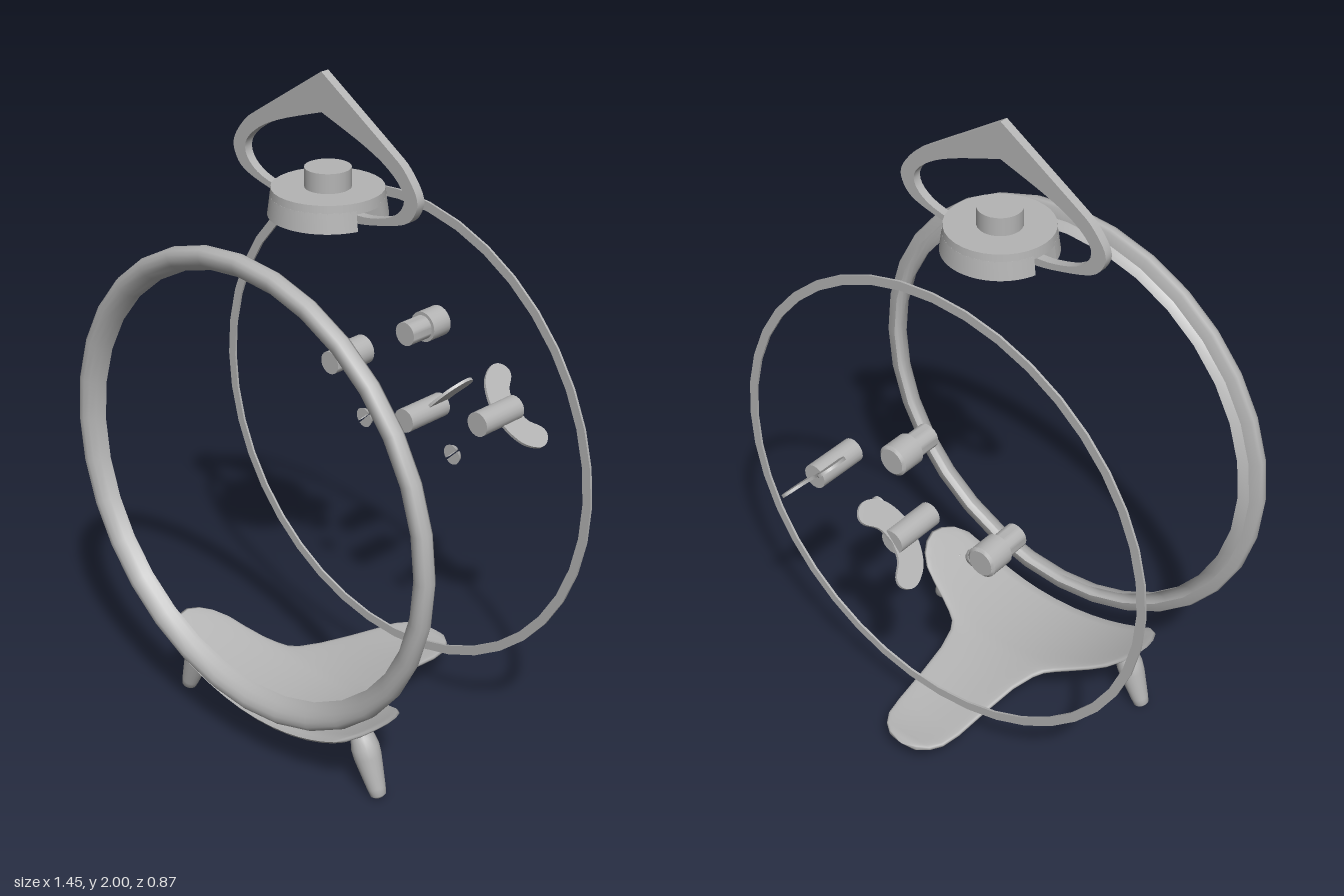
import * as THREE from 'three';
import { toCreasedNormals } from 'three/addons/utils/BufferGeometryUtils.js';

const metal = new THREE.MeshStandardMaterial({ color: 0xb4b4b4, side: THREE.DoubleSide });
metal.name = 'grey metal';

const V2 = (p) => new THREE.Vector2(p[0], p[1]);
const CENTRE_Y = 0.88;

function add(parent, name, geometry, x = 0, y = 0, z = 0) {
  const mesh = new THREE.Mesh(geometry, metal);
  mesh.name = name;
  mesh.position.set(x, y, z);
  parent.add(mesh);
  return mesh;
}

// Lathe whose axis is turned to lie along z
const latheZ = (pts, segs, start = 0, length = Math.PI * 2) =>
  new THREE.LatheGeometry(pts.map(V2), segs, start, length).rotateX(Math.PI / 2);

const smoothExtrude = (shape, depth, curveSegments = 16) =>
  toCreasedNormals(new THREE.ExtrudeGeometry(shape, { depth, bevelEnabled: false, curveSegments }), 0.6);

// Linear interpolation through [position, value] pairs in descending position
function lookup(table, z) {
  for (let i = 1; i < table.length; i++) {
    const [a, va] = table[i - 1], [b, vb] = table[i];
    if (z >= b) return va + (vb - va) * Math.min(1, Math.max(0, (a - z) / (a - b)));
  }
  return table[table.length - 1][1];
}

// Cradle plate: cross-sections curved to the case, narrowing into a tail
function cradleGeometry() {
  const widths = [[0.387, 0.33], [0.377, 0.37], [0.35, 0.403], [0.31, 0.422], [0.27, 0.428], [0.23, 0.417],
    [0.195, 0.395], [0.165, 0.36], [0.145, 0.315], [0.12, 0.255], [0.1, 0.215], [0.08, 0.185], [0.05, 0.166],
    [-0.02, 0.145], [-0.13, 0.131], [-0.25, 0.12], [-0.31, 0.108], [-0.345, 0.085], [-0.367, 0.055], [-0.378, 0.005]];
  const drops = [[0.39, 0], [0.1, 0], [0, 0.006], [-0.1, 0.02], [-0.25, 0.041], [-0.32, 0.044], [-0.38, 0.04]];
  const n = 32, pos = [], idx = [];
  widths.forEach(([z, w], row) => {
    const end = row === 0 || row === widths.length - 1;
    const drop = lookup(drops, z);
    for (let k = 0; k < n; k++) {
      const a = (k / n) * Math.PI * 2;
      const x = w * Math.cos(a);
      const half = end ? 0 : 0.0125 * Math.sign(Math.sin(a)) * Math.pow(Math.abs(Math.sin(a)), 0.5);
      pos.push(x - 0.004, CENTRE_Y - Math.sqrt(0.747 ** 2 - x * x) - drop + half, z);
      if (row > 0) {
        const k2 = (k + 1) % n, p = (row - 1) * n, q = row * n;
        idx.push(p + k, p + k2, q + k, p + k2, q + k2, q + k);
      }
    }
  });
  const g = new THREE.BufferGeometry();
  g.setAttribute('position', new THREE.Float32BufferAttribute(pos, 3));
  g.setIndex(idx);
  g.computeVertexNormals();
  return g;
}

// Carrying handle outline: one half, mirrored
function handleGeometry() {
  const curve = (pts) => new THREE.SplineCurve(pts.map(V2)).getPoints(24);
  const half = [
    new THREE.Vector2(0, 2),
    ...curve([[0.26, 1.833], [0.3, 1.803], [0.343, 1.745], [0.343, 1.7], [0.3, 1.655], [0.17, 1.62], [0.1, 1.612]]),
    ...curve([[0.1, 1.637], [0.17, 1.64], [0.25, 1.662], [0.295, 1.7], [0.295, 1.745], [0.24, 1.795], [0.15, 1.838], [0, 1.89]]),
  ];
  const mirrored = half.slice(1, -1).reverse().map((p) => new THREE.Vector2(-p.x, p.y));
  return smoothExtrude(new THREE.Shape([...half, ...mirrored]), 0.026);
}

// Half of the slotted skirt under the bell cap, flared towards the bottom
function skirtGeometry(middle) {
  const half = Math.PI / 2 - 0.28;
  const s = new THREE.Shape();
  s.absarc(0, 0, 0.156, middle - half, middle + half, false);
  s.absarc(0, 0, 0.105, middle + half, middle - half, true);
  s.closePath();
  const g = new THREE.ExtrudeGeometry(s, { depth: 0.055, bevelEnabled: false, curveSegments: 16 });
  g.rotateX(-Math.PI / 2);
  const p = g.attributes.position;
  for (let i = 0; i < p.count; i++) {
    if (p.getY(i) < 0.01) p.setXYZ(i, p.getX(i) * 1.05, p.getY(i), p.getZ(i) * 1.05);
  }
  return toCreasedNormals(g, 0.6);
}

// Butterfly wing of a winding key, lying in the x-z plane
function wingGeometry() {
  const side = [[0, 0.302], [0.05, 0.308], [0.105, 0.335], [0.136, 0.38], [0.135, 0.415],
    [0.112, 0.437], [0.085, 0.432], [0.05, 0.397], [0, 0.385]];
  const half = new THREE.SplineCurve(side.map(V2)).getPoints(28);
  const mirrored = half.slice(1, -1).reverse().map((p) => new THREE.Vector2(-p.x, p.y));
  return smoothExtrude(new THREE.Shape([...half, ...mirrored]), 0.009)
    .translate(0, 0, -0.0045).rotateX(-Math.PI / 2);
}

export function createModel() {
  const model = new THREE.Group();
  model.name = 'alarmClock';

  // Front bezel and thin rear rim
  add(model, 'frontBezel', latheZ([[0.665, 0.385], [0.695, 0.391], [0.7, 0.4], [0.7, 0.415], [0.694, 0.428],
    [0.683, 0.435], [0.668, 0.435], [0.652, 0.428], [0.638, 0.412], [0.63, 0.395], [0.628, 0.383]], 32), 0, CENTRE_Y, 0);
  add(model, 'rearRim', toCreasedNormals(latheZ([[0.697, -0.198], [0.725, -0.198], [0.725, -0.191],
    [0.697, -0.191], [0.697, -0.198]], 40), 0.6), 0, CENTRE_Y, 0);

  // Bell cap with button and handle
  const bell = new THREE.Group();
  bell.name = 'bellCap';
  bell.position.z = 0.083;
  model.add(bell);
  add(bell, 'capTop', new THREE.CylinderGeometry(0.154, 0.157, 0.03, 32), 0, 1.67, 0);
  for (const middle of [Math.PI / 2, -Math.PI / 2]) add(bell, 'capSkirt', skirtGeometry(middle), 0, 1.609, 0);
  add(bell, 'button', new THREE.CylinderGeometry(0.064, 0.064, 0.1, 24), 0, 1.69, 0);
  add(bell, 'handle', handleGeometry(), -0.01, 0, -0.013);

  // Setting knobs
  const knob = toCreasedNormals(latheZ([[0, -0.375], [0.038, -0.375], [0.046, -0.368], [0.046, -0.298],
    [0.036, -0.298], [0.036, -0.223], [0, -0.223]], 24), 0.6);
  for (const [x, y] of [[0, 1.157], [-0.308, 0.967]]) add(model, 'settingKnob', knob, x, y, 0);

  // Winding keys
  const shaft = new THREE.CylinderGeometry(0.037, 0.037, 0.16, 20).rotateX(Math.PI / 2);
  for (const [x, y, angle] of [[0.285, 0.967, -Math.PI / 4], [0, 0.88, 0.86]]) {
    const key = new THREE.Group();
    key.name = 'windingKey';
    key.position.set(x, y, 0);
    key.rotation.z = angle;
    add(key, 'keyShaft', shaft, 0, 0, -0.303);
    add(key, 'keyWing', wingGeometry());
    model.add(key);
  }

  // Domed screws, split by a slot
  for (const [x, y] of [[-0.177, 0.825], [0.178, 0.828]]) {
    const screw = new THREE.Group();
    screw.name = 'slottedScrew';
    screw.position.set(x, y, 0);
    screw.rotation.z = Math.PI / 4;
    for (const side of [1, -1]) {
      const half = latheZ([[0, -0.26], [0.013, -0.257], [0.023, -0.25], [0.028, -0.237], [0, -0.237]],
        12, side > 0 ? Math.PI / 2 : -Math.PI / 2, Math.PI);
      add(screw, 'screwHalf', toCreasedNormals(half, 0.7), 0, side * 0.003, 0);
    }
    model.add(screw);
  }

  // Cradle and tapered front feet
  add(model, 'cradle', cradleGeometry());
  const foot = new THREE.LatheGeometry([[0, 0], [0.014, 0.001], [0.023, 0.008], [0.027, 0.03], [0.04, 0.125],
    [0.041, 0.155], [0.035, 0.185], [0.026, 0.21], [0, 0.225]].map(V2), 20);
  for (const side of [1, -1]) {
    const mesh = add(model, 'foot', foot, side * 0.408 - 0.01, 0.008, 0.283);
    mesh.rotation.z = side * 0.37;
  }
  return model;
}
